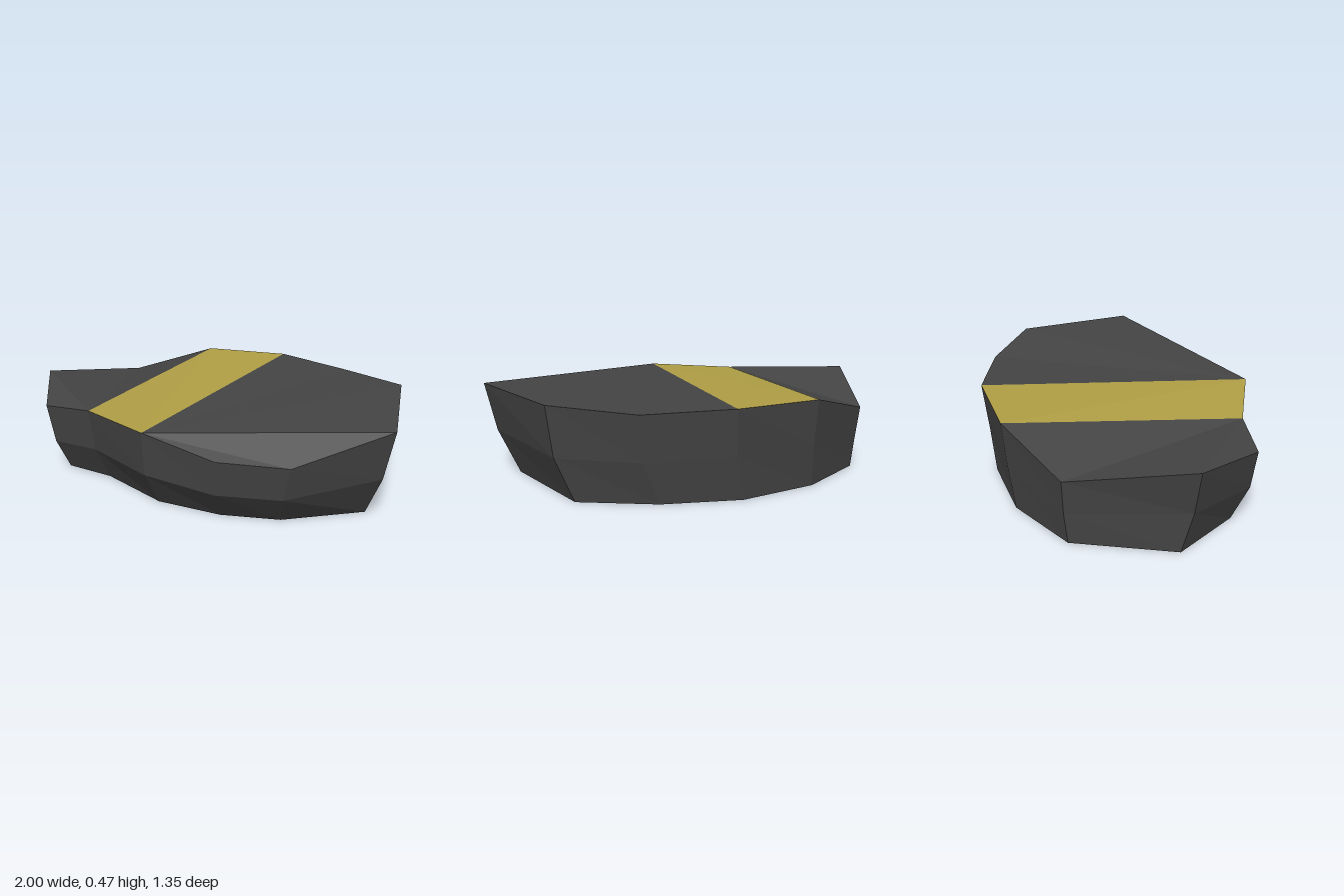
import * as THREE from 'three';

// Outline rings [x, y, z], running from the left tip round the front to the back
const TOP = [
  [1, 0.46, 0.04], [0.7, 0.325, 0.41], [0.41, 0.335, 0.58], [0.05, 0.41, 0.67],
  [-0.4, 0.39, 0.59], [-0.69, 0.36, 0.62], [-1, 0.42, 0.34], [-0.89, 0.32, -0.24],
  [-0.56, 0.44, -0.53], [-0.13, 0.45, -0.68], [0.31, 0.44, -0.67], [0.71, 0.47, -0.54],
];
const MIDDLE = [
  [0.945, 0.215, 0.035], [0.655, 0.155, 0.4], [0.39, 0.16, 0.56], [0.04, 0.19, 0.65],
  [-0.39, 0.18, 0.57], [-0.66, 0.165, 0.6], [-0.95, 0.2, 0.32], [-0.87, 0.15, -0.235],
  [-0.55, 0.21, -0.51], [-0.14, 0.22, -0.65], [0.29, 0.21, -0.64], [0.68, 0.22, -0.525],
];
const BOTTOM = [
  [0.84, 0, -0.01], [0.58, 0, 0.31], [0.33, 0, 0.45], [0.01, 0, 0.53],
  [-0.39, 0, 0.48], [-0.655, 0, 0.52], [-0.935, 0, 0.27], [-0.86, 0, -0.22],
  [-0.56, 0, -0.48], [-0.18, 0, -0.62], [0.21, 0, -0.61], [0.59, 0, -0.51],
];

function facetMesh(name, triangles, material) {
  const geometry = new THREE.BufferGeometry();
  geometry.setAttribute('position', new THREE.Float32BufferAttribute(triangles.flat(2), 3));
  geometry.computeVertexNormals();
  const mesh = new THREE.Mesh(geometry, material);
  mesh.name = name;
  return mesh;
}

// Fan of triangles from the first point of a polygon
function fan(points, flip = false) {
  const out = [];
  for (let i = 1; i < points.length - 1; i++) {
    out.push(flip ? [points[0], points[i + 1], points[i]] : [points[0], points[i], points[i + 1]]);
  }
  return out;
}

// Band of wall between two rings
function band(lower, upper) {
  return lower.flatMap((p, i) => {
    const j = (i + 1) % lower.length;
    return [[p, upper[i], upper[j]], [p, upper[j], lower[j]]];
  });
}

export function createModel() {
  const asphalt = new THREE.MeshStandardMaterial({ color: 0x444444, flatShading: true });
  asphalt.name = 'asphalt grey';
  const paint = new THREE.MeshStandardMaterial({ color: 0xb09f45, flatShading: true });
  paint.name = 'road paint yellow';

  const group = new THREE.Group();
  group.name = 'roadChunk';
  const topFace = (...ids) => fan(ids.map((i) => TOP[i]), true);

  // Broken walls and flat underside
  group.add(facetMesh('walls', [...band(BOTTOM, MIDDLE), ...band(MIDDLE, TOP)], asphalt));
  group.add(facetMesh('underside', fan(BOTTOM), asphalt));

  // Road surface either side of the painted line
  group.add(facetMesh('leftSurface', topFace(3, 9, 10, 11, 0, 1, 2), asphalt));
  group.add(facetMesh('rightSurface', topFace(4, 5, 6, 7, 8), asphalt));

  // Painted line across the slab
  group.add(facetMesh('paintedLine', topFace(3, 4, 8, 9), paint));
  return group;
}
